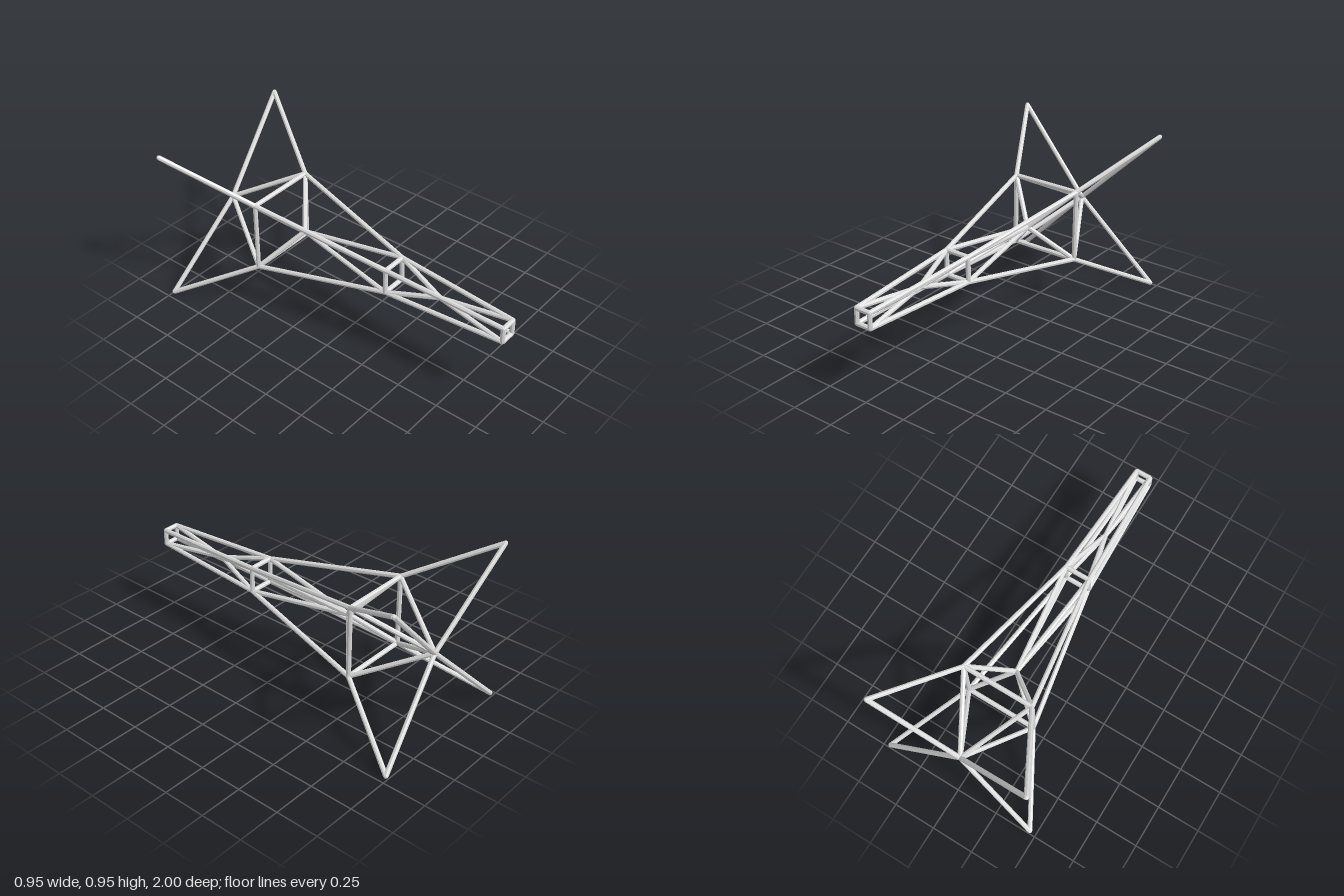
import * as THREE from 'three';

const RADIUS = 0.0138, SIDES = 8, MID_Y = 0.476;

export function createModel() {
  const model = new THREE.Group();
  model.name = 'trussTower';
  const steel = new THREE.MeshStandardMaterial({ color: 0xdddddd });
  steel.name = 'pale grey steel';

  const group = (name) => {
    const g = new THREE.Group();
    g.name = name;
    model.add(g);
    return g;
  };
  // Straight tube between two nodes
  const tube = (parent, name, a, b) => {
    const dir = b.clone().sub(a);
    const geo = new THREE.CylinderGeometry(RADIUS, RADIUS, dir.length(), SIDES).toNonIndexed();
    geo.rotateY(Math.PI / SIDES);
    geo.computeVertexNormals();
    const m = new THREE.Mesh(geo, steel);
    m.name = name;
    m.position.copy(a).add(b).multiplyScalar(0.5);
    m.quaternion.setFromUnitVectors(new THREE.Vector3(0, 1, 0), dir.normalize());
    parent.add(m);
  };
  // Rounded joint where tubes meet
  const joints = group('joints');
  const joint = (p) => {
    const m = new THREE.Mesh(new THREE.SphereGeometry(RADIUS * 0.95, 8, 6), steel);
    m.name = 'joint';
    m.position.copy(p);
    joints.add(m);
  };

  // Four corners of a square station, and nodes on the central axis
  const corners = (half, z) => [[1, 1], [-1, 1], [-1, -1], [1, -1]].map(
    ([x, y]) => new THREE.Vector3(x * half, MID_Y + y * half, z));
  const axisNode = (z) => new THREE.Vector3(0, MID_Y, z);
  const tip = corners(0.043, 0.987);
  const middle = corners(0.073, 0.265);
  const base = corners(0.208, -0.535);
  const feet = corners(0.463, -0.987);
  const frontNode = axisNode(0.57), innerNode = axisNode(-0.362), rearNode = axisNode(-0.917);
  [...tip, ...middle, ...base, ...feet, frontNode, innerNode, rearNode].forEach(joint);

  // Square frames
  const frames = { tipFrame: tip, middleFrame: middle, baseFrame: base };
  for (const [name, ring] of Object.entries(frames)) {
    const g = group(name);
    ring.forEach((p, i) => tube(g, 'frameBar', p, ring[(i + 1) % 4]));
  }

  // Long corner rails and the splayed legs
  const rails = group('cornerRails'), legs = group('legs');
  const braces = group('braces');
  for (let i = 0; i < 4; i++) {
    tube(rails, 'upperRail', tip[i], middle[i]);
    tube(rails, 'lowerRail', middle[i], base[i]);
    tube(legs, 'leg', base[i], feet[i]);
    tube(legs, 'footBrace', feet[i], rearNode);
    // Diagonals converging on the axis
    tube(braces, 'tipBrace', tip[i], frontNode);
    tube(braces, 'frontBrace', middle[i], frontNode);
    tube(braces, 'innerBrace', middle[i], innerNode);
    tube(braces, 'baseBrace', base[i], innerNode);
    tube(braces, 'rearBrace', base[i], rearNode);
  }
  return model;
}
